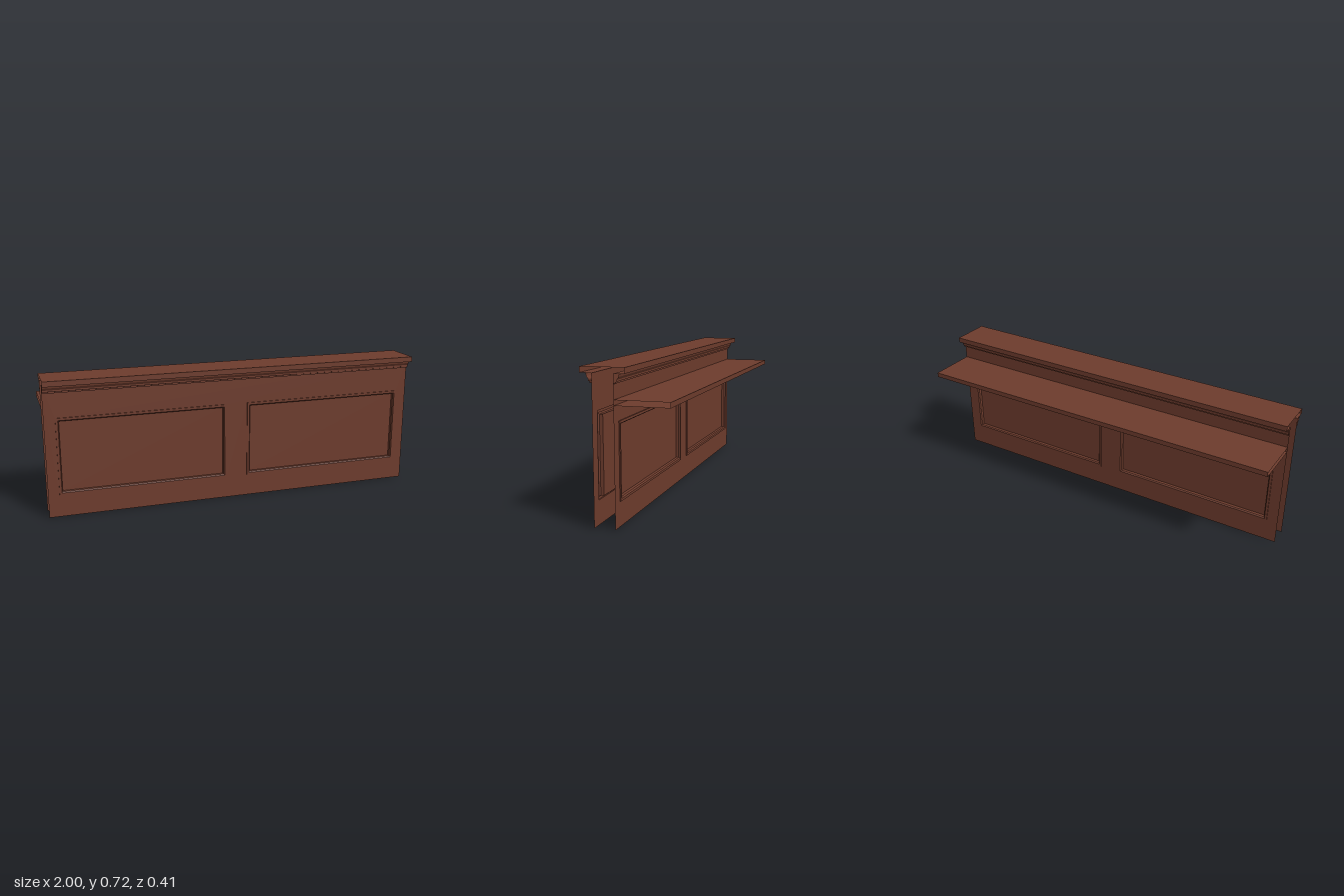
import * as THREE from 'three';

const wood = new THREE.MeshStandardMaterial({ color: 0x6e3c2d, side: THREE.DoubleSide });
wood.name = 'reddish brown wood';

const FRONT_Z = 0.15, BACK_Z = 0.05;

function mesh(name, geometry) {
  const m = new THREE.Mesh(geometry, wood);
  m.name = name;
  return m;
}

// Flat-shaded surface from a list of four-cornered faces
function quads(faces) {
  const pos = [];
  for (const [a, b, c, d] of faces) pos.push(...a, ...b, ...c, ...a, ...c, ...d);
  const g = new THREE.BufferGeometry();
  g.setAttribute('position', new THREE.Float32BufferAttribute(pos, 3));
  g.computeVertexNormals();
  return g;
}

// Open-ended strip: a [z, y] profile swept along the full length
function sweep(profile) {
  const faces = [];
  for (let i = 0; i < profile.length - 1; i++) {
    const [z0, y0] = profile[i], [z1, y1] = profile[i + 1];
    faces.push([[-1, y0, z0], [-1, y1, z1], [1, y1, z1], [1, y0, z0]]);
  }
  return quads(faces);
}

// Corners of a rectangle, counter-clockwise from the front
const rect = (x0, x1, y0, y1, z) => [[x0, y0, z], [x1, y0, z], [x1, y1, z], [x0, y1, z]];

// Raised frame that steps down into a sunken panel
function panel(x0, x1, y0, y1) {
  const ring = (inset, z) => rect(x0 + inset, x1 - inset, y0 + inset, y1 - inset, z);
  const rings = [ring(0, 0), ring(0, 0.005), ring(0.012, 0.005), ring(0.017, -0.002), ring(0.017, -0.018)];
  const faces = [];
  for (let r = 0; r < rings.length - 1; r++)
    for (let i = 0; i < 4; i++) {
      const j = (i + 1) % 4;
      faces.push([rings[r][i], rings[r][j], rings[r + 1][j], rings[r + 1][i]]);
    }
  faces.push(rings[rings.length - 1]);
  return quads(faces);
}

// Thin wall sheet with two panelled openings, facing +z
function panelledWall(name, panelTop) {
  const group = new THREE.Group();
  group.name = name;
  const toPath = (p, T) => new T(p.map(([x, y]) => new THREE.Vector2(x, y)));
  const shape = toPath(rect(-1, 1, 0, 0.69, 0), THREE.Shape);
  for (const [x0, x1] of [[-0.943, -0.057], [0.057, 0.943]]) {
    shape.holes.push(toPath(rect(x0, x1, 0.115, panelTop, 0).reverse(), THREE.Path));
    group.add(mesh('sunkenPanel', panel(x0, x1, 0.115, panelTop)));
  }
  group.add(mesh('wallSheet', new THREE.ShapeGeometry(shape)));
  return group;
}

export function createModel() {
  const model = new THREE.Group();
  model.name = 'panelledCounter';

  // Walls
  const front = panelledWall('frontWall', 0.518);
  front.position.z = FRONT_Z;
  const back = panelledWall('backWall', 0.478);
  back.position.z = BACK_Z;
  back.rotation.y = Math.PI;
  model.add(front, back);

  // Top cap with its underside returning to the walls
  model.add(mesh('topCap', sweep([
    [BACK_Z, 0.69], [0, 0.69], [0, 0.717], [0.207, 0.717], [0.207, 0.69], [FRONT_Z, 0.69],
  ])));

  // Stepped moulding under the cap, mirrored to both walls
  const moulding = [[0.027, 0.69], [0.024, 0.676], [0.016, 0.664], [0.016, 0.656], [0.009, 0.654], [0.009, 0.647], [0, 0.647]];
  model.add(mesh('frontMoulding', sweep(moulding.map(([d, y]) => [FRONT_Z + d, y]))));
  model.add(mesh('backMoulding', sweep(moulding.map(([d, y]) => [BACK_Z - d, y]).reverse())));

  // Work shelf behind the back wall
  model.add(mesh('shelf', sweep([
    [BACK_Z, 0.552], [-0.207, 0.552], [-0.207, 0.577], [BACK_Z, 0.577],
  ])));

  return model;
}
